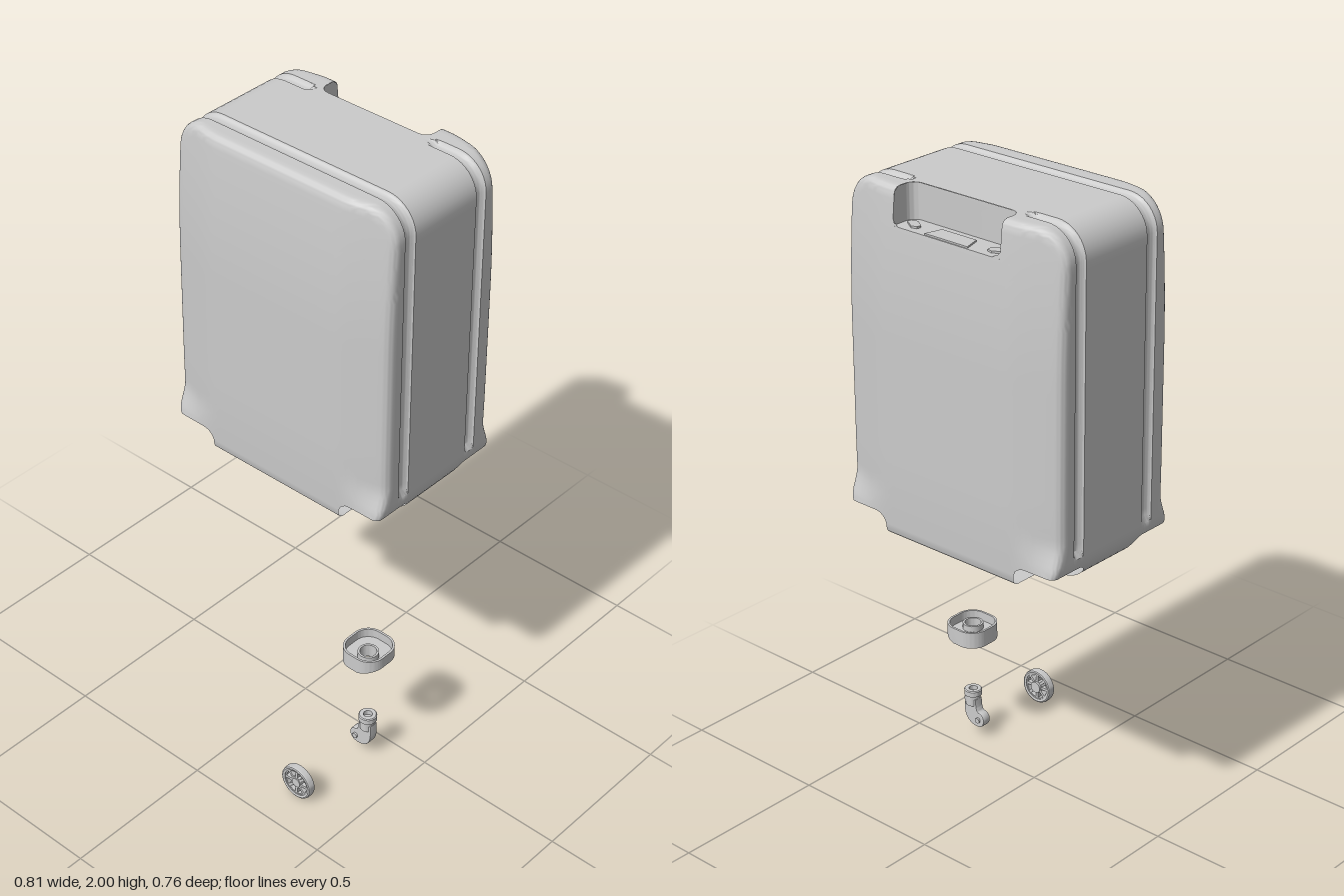
import * as THREE from 'three';
import { toCreasedNormals } from 'three/addons/utils/BufferGeometryUtils.js';

const mat = new THREE.MeshStandardMaterial({ color: 0xcccccc, side: THREE.DoubleSide });
const clamp = THREE.MathUtils.clamp, smooth = THREE.MathUtils.smoothstep;
const HX = 0.405, Y0 = 0.92, Y1 = 2, R = 0.1, ZC = -0.12, HZ = 0.26;

function add(parent, name, geo) {
  const m = new THREE.Mesh(geo, mat);
  m.name = name;
  parent.add(m);
  return m;
}

// keep the part of a polygon where g >= 0
function clip(poly, g) {
  const out = [];
  poly.forEach((a, i) => {
    const b = poly[(i + 1) % poly.length], da = g(a), db = g(b);
    if (da >= 0) out.push(a);
    if ((da < 0) !== (db < 0)) out.push(a.clone().lerp(b, da / (da - db)));
  });
  return out;
}

function clippedGeometry(tris, cuts, crease) {
  const pos = [], e = new THREE.Vector3(), f = new THREE.Vector3();
  for (const t of tris) {
    const p = cuts.reduce((q, g) => clip(q, g), t);
    for (let i = 1; i < p.length - 1; i++) {
      e.subVectors(p[i], p[0]);
      f.subVectors(p[i + 1], p[0]);
      if (e.cross(f).length() < 1e-10) continue;
      for (const v of [p[0], p[i], p[i + 1]]) pos.push(v.x, v.y, v.z);
    }
  }
  const geo = new THREE.BufferGeometry();
  geo.setAttribute('position', new THREE.Float32BufferAttribute(pos, 3));
  return toCreasedNormals(geo, crease);
}

// how far the front and back panels fall away from their highest plane
function drop(x, y, d) {
  const side = clamp((Math.abs(x) - 0.24) / 0.165, 0, 1) ** 1.2;
  const top = clamp((y - 1.55) / 0.45, 0, 1) ** 2, low = clamp((1.2 - y) / 0.28, 0, 1) ** 2;
  const e = Math.max(0, 0.02 - d);
  return 0.035 * side * smooth(y, 0.97, 1.09) + 0.025 * top + 0.008 * low
    + 0.02 - Math.sqrt(0.0004 - e * e);
}

// rounded rectangle of the case, anticlockwise, with outward directions
function outline() {
  const pts = [], cy = (Y0 + Y1) / 2, hx = HX - R, hy = (Y1 - Y0) / 2 - R;
  const corners = [[1, -1], [1, 1], [-1, 1], [-1, -1]];
  corners.forEach(([sx, sy], k) => {
    const c = [sx * hx, cy + sy * hy];
    for (let i = 0; i <= 10; i++) {
      const a = (k - 1 + i / 10) * Math.PI / 2, n = [Math.cos(a), Math.sin(a)];
      pts.push({ x: c[0] + R * n[0], y: c[1] + R * n[1], n });
    }
    const last = pts[pts.length - 1], [tx, ty] = corners[(k + 1) % 4];
    const end = [tx * hx + R * last.n[0], cy + ty * hy + R * last.n[1]];
    for (let i = 1; i < 44; i++) {
      const t = i / 44;
      pts.push({ x: last.x + (end[0] - last.x) * t, y: last.y + (end[1] - last.y) * t, n: last.n });
    }
  });
  return pts;
}

// round grooves: one around the lid, a shorter one near the back
function groove(p, z) {
  const low = Math.max(0, 1.04 - p.y);
  const gap = p.y > 1.9 ? Math.max(0, 0.24 - Math.abs(p.x)) : 0;
  const dip = (zc, w, e) => Math.sqrt(Math.max(0, 1 - ((z - zc) ** 2 + e * e) / (w * w)));
  return 0.012 * dip(0.029, 0.021, low) + 0.014 * dip(-0.27, 0.02, Math.max(low, gap));
}

// openings for the four wheels and the handle recess
function wheelCut(v) {
  const r = 0.04;
  return Math.hypot(Math.max(0.25 + r - Math.abs(v.x), 0),
    Math.max(0.105 + r - Math.abs(v.z - ZC), 0), Math.max(v.y - 0.985 + r, 0)) - r;
}
const handleCut = v => Math.max(1.89 - v.y,
  Math.hypot(Math.max(Math.abs(v.x) - 0.17, 0), Math.max(v.z + 0.31, 0)) - 0.03);

function shellGeometry() {
  const base = outline(), cy = (Y0 + Y1) / 2, rows = [];
  const cap = (s, d, k) => base.map(p => {
    const x = (p.x - p.n[0] * d) * k, y = cy + (p.y - p.n[1] * d - cy) * k;
    return new THREE.Vector3(x, y, ZC + s * (HZ - drop(x, y, k < 1 ? 1 : d)));
  });
  const band = zOf => base.map(p => {
    const z = zOf(p), g = groove(p, z);
    return new THREE.Vector3(p.x - p.n[0] * g, p.y - p.n[1] * g, z);
  });
  const insets = [0.09, 0.07, 0.05, 0.035, 0.02, 0.014, 0.009, 0.005, 0.002, 0];
  const edge = (p, s) => ZC + s * (HZ - drop(p.x, p.y, 0));
  for (let i = 0; i < 16; i++) rows.push(cap(-1, 0.09, i / 16));
  insets.forEach(d => rows.push(cap(-1, d, 1)));
  for (const t of [0.33, 0.67]) rows.push(band(p => THREE.MathUtils.lerp(edge(p, -1), -0.293, t)));
  const zs = [];
  for (let i = 0; i <= 12; i++) zs.push(-0.27 - 0.0205 * Math.cos(i * Math.PI / 12));
  for (let i = 0; i <= 11; i++) zs.push(-0.245 + i * 0.0225);
  for (let i = 0; i <= 12; i++) zs.push(0.029 - 0.0215 * Math.cos(i * Math.PI / 12));
  zs.forEach(z => rows.push(band(() => z)));
  for (const t of [0.33, 0.67]) rows.push(band(p => THREE.MathUtils.lerp(0.052, edge(p, 1), t)));
  [...insets].reverse().forEach(d => rows.push(cap(1, d, 1)));
  for (let i = 15; i >= 0; i--) rows.push(cap(1, 0.09, i / 16));

  const tris = [], n = base.length;
  for (let r = 0; r < rows.length - 1; r++) for (let i = 0; i < n; i++) {
    const j = (i + 1) % n, a = rows[r][i], b = rows[r][j], c = rows[r + 1][j], d = rows[r + 1][i];
    tris.push([a, b, c], [a, c, d]);
  }
  return clippedGeometry(tris, [wheelCut, handleCut], 0.6);
}

// plan shape (x, z) with rounded corners
function roundPlan(x0, z0, x1, z1, r, Type = THREE.Shape) {
  const s = new Type();
  s.absarc(x1 - r, z0 + r, r, -Math.PI / 2, 0);
  s.absarc(x1 - r, z1 - r, r, 0, Math.PI / 2);
  s.absarc(x0 + r, z1 - r, r, Math.PI / 2, Math.PI);
  s.absarc(x0 + r, z0 + r, r, Math.PI, Math.PI * 1.5);
  s.closePath();
  return s;
}
// plan shape extruded downwards from a height
function slab(shape, top, depth, steps = 1) {
  return new THREE.ExtrudeGeometry(shape, { depth, steps, bevelEnabled: false, curveSegments: 10 })
    .rotateX(Math.PI / 2).translate(0, top, 0);
}
const polygon = pts => new THREE.Shape(pts.map(p => new THREE.Vector2(...p)));

function recessGeometry() {
  const g = slab(roundPlan(-0.2, -0.5, 0.2, -0.28, 0.03), 2.02, 0.13, 8).toNonIndexed?.() ;
  const p = g.attributes.position, tris = [];
  for (let i = 0; i < p.count; i += 3)
    tris.push([0, 1, 2].map(k => new THREE.Vector3().fromBufferAttribute(p, i + k)));
  const inCase = v => v.z - (ZC - HZ + drop(v.x, v.y, clamp(2 - v.y, 0, 1)));
  return clippedGeometry(tris, [v => 1.9995 - v.y, inCase], 0.6);
}

function buildCase() {
  const g = new THREE.Group();
  g.name = 'suitcase';
  add(g, 'caseShell', shellGeometry());
  add(g, 'handleRecess', recessGeometry());
  add(g, 'handleGripPlate', slab(polygon([[-0.078, -0.362], [0.083, -0.362], [0.068, -0.306], [-0.06, -0.306]]), 1.895, 0.006));
  for (const s of [-1, 1])
    add(g, 'handleRodCap', slab(polygon([[0.132, -0.34], [0.15, -0.345], [0.186, -0.322], [0.182, -0.308], [0.162, -0.304], [0.13, -0.325]]
      .map(([x, z]) => [s * x, z])), 1.896, 0.006));
  return g;
}

// wheel housing: an open tray with a socket for the stem
function buildHousing() {
  const g = new THREE.Group();
  g.name = 'wheelHousing';
  const rim = roundPlan(0.245, -0.01, 0.387, 0.135, 0.055);
  rim.holes.push(roundPlan(0.252, -0.003, 0.38, 0.128, 0.048, THREE.Path));
  const floor = roundPlan(0.247, -0.008, 0.385, 0.133, 0.053);
  floor.holes.push(new THREE.Path().absarc(0.325, 0.075, 0.026, 0, Math.PI * 2));
  const socket = new THREE.Shape().absarc(0.325, 0.075, 0.033, 0, Math.PI * 2);
  socket.holes.push(new THREE.Path().absarc(0.325, 0.075, 0.026, 0, Math.PI * 2));
  const parts = [['housingRim', slab(rim, 0.42, 0.055)], ['housingFloor', slab(floor, 0.39, 0.025)], ['stemSocket', slab(socket, 0.41, 0.04)]];
  for (const [name, geo] of parts) {
    // the underside rises towards the outer side
    const p = geo.attributes.position;
    for (let i = 0; i < p.count; i++)
      if (p.getY(i) < 0.375) p.setY(i, p.getY(i) + Math.max(0, p.getX(i) - 0.33) * 0.3);
    add(g, name, toCreasedNormals(geo, 0.6));
  }
  return g;
}

// swivel fork: flanged stem with an arm curving down to the axle
function buildFork() {
  const g = new THREE.Group();
  g.name = 'casterFork';
  const stem = [[0, 0.105], [0.024, 0.105], [0.024, 0.138], [0.029, 0.141], [0.029, 0.158], [0.026, 0.161], [0.014, 0.161], [0.014, 0.145], [0, 0.145]];
  add(g, 'forkStem', toCreasedNormals(new THREE.LatheGeometry(stem.map(p => new THREE.Vector2(...p)), 28), 0.6))
    .position.set(0.335, 0, 0.083);
  const s = new THREE.Shape().moveTo(0.311, 0.13).lineTo(0.36, 0.13).lineTo(0.36, 0.095);
  s.bezierCurveTo(0.36, 0.06, 0.345, 0.034, 0.305, 0.034);
  s.bezierCurveTo(0.268, 0.034, 0.268, 0.086, 0.3, 0.086);
  s.quadraticCurveTo(0.311, 0.09, 0.311, 0.13);
  add(g, 'forkArm', toCreasedNormals(new THREE.ExtrudeGeometry(s, {
    depth: 0.024, bevelThickness: 0.004, bevelSize: 0.003, bevelOffset: -0.003, bevelSegments: 2, curveSegments: 12,
  }).translate(0, 0, 0.071), 0.5));
  const axle = new THREE.CylinderGeometry(0.009, 0.009, 0.044, 20).rotateX(Math.PI / 2);
  add(g, 'forkAxle', axle).position.set(0.3, 0.06, 0.083);
  return g;
}

// spoked wheel facing the front
function buildWheel() {
  const g = new THREE.Group();
  g.name = 'wheel';
  const tyre = [[0.045, -0.012], [0.052, -0.014], [0.056, -0.012], [0.058, -0.006], [0.058, 0.006], [0.056, 0.012], [0.052, 0.014], [0.045, 0.012], [0.045, -0.012]];
  add(g, 'tyre', toCreasedNormals(new THREE.LatheGeometry(tyre.map(p => new THREE.Vector2(...p)), 48).rotateX(Math.PI / 2), 0.7));
  const disc = new THREE.Shape().absarc(0, 0, 0.046, 0, Math.PI * 2);
  for (let i = 0; i < 8; i++) {
    const a = (i + 0.5) * Math.PI / 4, h = 0.28;
    const hole = new THREE.Path().absarc(0, 0, 0.041, a - h, a + h);
    hole.absarc(0, 0, 0.021, a + h * 0.7, a - h * 0.7, true);
    hole.closePath();
    disc.holes.push(hole);
  }
  add(g, 'spokes', toCreasedNormals(new THREE.ExtrudeGeometry(disc, { depth: 0.018, bevelEnabled: false, curveSegments: 24 }).translate(0, 0, -0.009), 0.6));
  add(g, 'hub', new THREE.CylinderGeometry(0.016, 0.019, 0.03, 28).rotateX(Math.PI / 2)).position.z = -0.003;
  g.position.set(0.302, 0.058, 0.366);
  return g;
}

export function createModel() {
  const model = new THREE.Group();
  model.name = 'suitcaseWithCaster';
  model.add(buildCase(), buildHousing(), buildFork(), buildWheel());
  return model;
}
